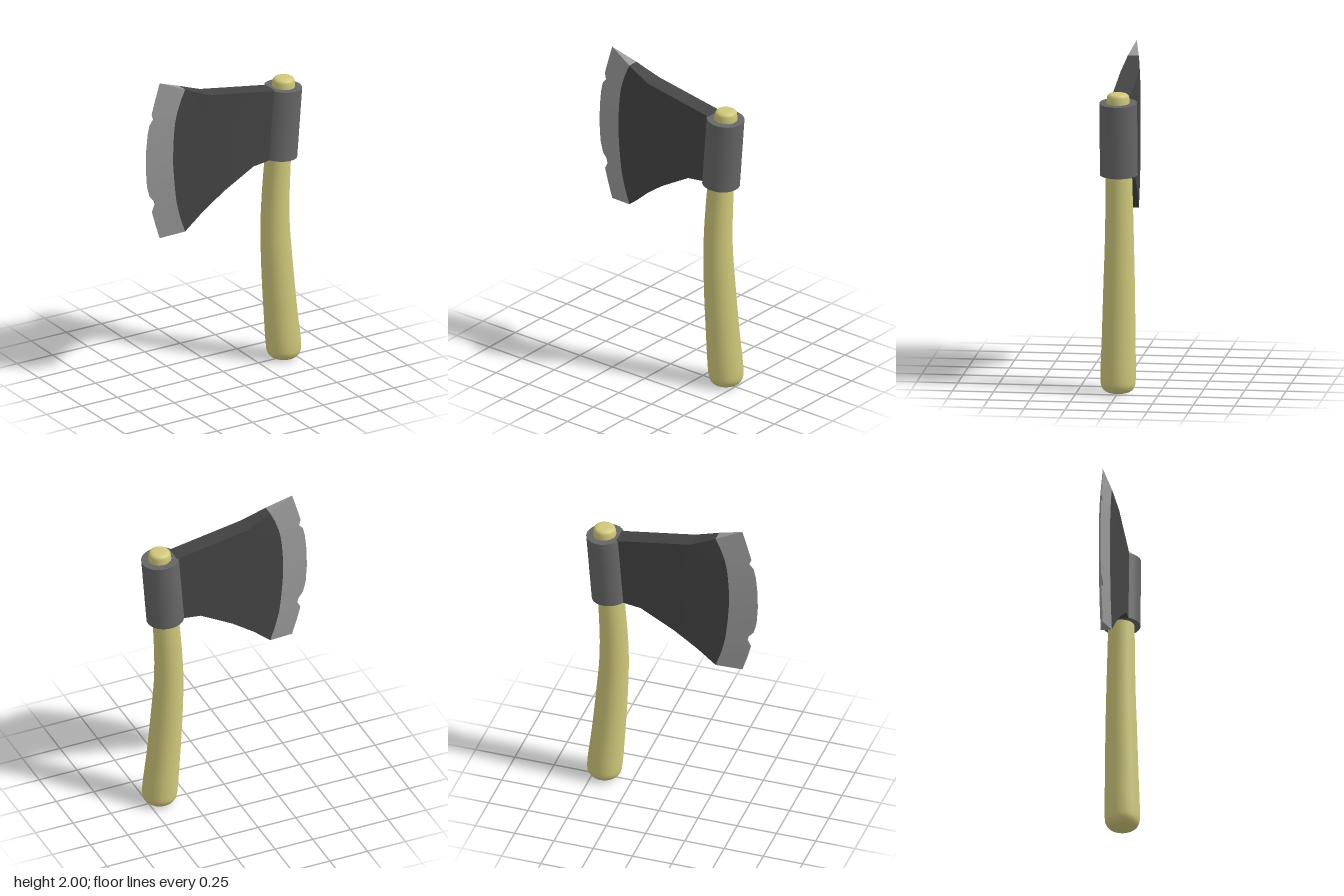
import * as THREE from 'three';
import { toCreasedNormals } from 'three/addons/utils/BufferGeometryUtils.js';

const material = (color) => new THREE.MeshStandardMaterial({ color });

// Solid symmetric about z = 0: rows run bottom to top, each a list of [x, y, halfThickness] from left to right.
function slab(rows) {
  const pos = [];
  const tri = (a, b, c) => {
    const area = b.clone().sub(a).cross(c.clone().sub(a)).length();
    if (area > 1e-8) for (const p of [a, b, c]) pos.push(p.x, p.y, p.z);
  };
  const quad = (a, b, c, d) => { tri(a, b, c); tri(a, c, d); };
  const F = rows.map((r) => r.map(([x, y, h]) => new THREE.Vector3(x, y, h)));
  const B = rows.map((r) => r.map(([x, y, h]) => new THREE.Vector3(x, y, -h)));
  const m = rows.length - 1, n = rows[0].length - 1;
  for (let i = 0; i < m; i++) {
    for (let j = 0; j < n; j++) {
      quad(F[i][j], F[i][j + 1], F[i + 1][j + 1], F[i + 1][j]);
      quad(B[i][j + 1], B[i][j], B[i + 1][j], B[i + 1][j + 1]);
    }
    quad(B[i][0], F[i][0], F[i + 1][0], B[i + 1][0]);
    quad(F[i][n], B[i][n], B[i + 1][n], F[i + 1][n]);
  }
  for (let j = 0; j < n; j++) {
    quad(F[m][j], F[m][j + 1], B[m][j + 1], B[m][j]);
    quad(B[0][j], B[0][j + 1], F[0][j + 1], F[0][j]);
  }
  const g = new THREE.BufferGeometry();
  g.setAttribute('position', new THREE.Float32BufferAttribute(pos, 3));
  g.computeVertexNormals();
  return toCreasedNormals(g, 0.35);
}

export function createModel() {
  const group = new THREE.Group();
  const add = (name, geometry, color) => {
    const mesh = new THREE.Mesh(geometry, material(color));
    mesh.name = name;
    group.add(mesh);
    return mesh;
  };

  // Curved wooden handle: a lathe whose rings are shifted along a bent centre line [radius, y, centreX]
  const stations = [
    [0, 0, 0.428], [0.055, 0.003, 0.428], [0.085, 0.018, 0.428], [0.102, 0.045, 0.428], [0.107, 0.08, 0.427],
    [0.102, 0.35, 0.402], [0.096, 0.64, 0.38], [0.088, 0.93, 0.367], [0.08, 1.33, 0.387], [0.07, 1.75, 0.424],
    [0.069, 1.805, 0.427], [0.063, 1.832, 0.428], [0.045, 1.843, 0.428], [0, 1.845, 0.428],
  ];
  const samples = new THREE.CatmullRomCurve3(stations.map((s) => new THREE.Vector3(...s))).getPoints(65);
  const profile = samples.map((p) => new THREE.Vector2(Math.max(0, p.x), THREE.MathUtils.clamp(p.y, 0, 1.845)));
  const handle = new THREE.LatheGeometry(profile, 28);
  const hp = handle.attributes.position;
  for (let i = 0; i < hp.count; i++) hp.setX(i, hp.getX(i) + samples[i % samples.length].z);
  add('handle', handle, 0xcfc87a);

  // Tilted socket around the handle
  const bottom = new THREE.Vector3(0.39, 1.338, 0), top = new THREE.Vector3(0.425, 1.785, 0);
  const axis = top.clone().sub(bottom);
  const socket = add('socket', new THREE.CylinderGeometry(0.115, 0.115, axis.length(), 24), 0x666666);
  socket.position.copy(bottom).add(top).multiplyScalar(0.5);
  socket.quaternion.setFromUnitVectors(new THREE.Vector3(0, 1, 0), axis.normalize());

  // Blade rows: [edge x, edge y, edge half thickness, bevel x, bevel y], with two chips in the edge
  const rows = [
    [-0.45, 0.98, 0, -0.29, 1.0], [-0.48, 1.075, 0, -0.325, 1.1], [-0.505, 1.165, 0, -0.345, 1.18],
    [-0.482, 1.208, 0.006, -0.352, 1.215], [-0.49, 1.235, 0.005, -0.355, 1.24], [-0.522, 1.27, 0, -0.36, 1.28],
    [-0.54, 1.34, 0, -0.368, 1.36], [-0.548, 1.46, 0, -0.375, 1.46], [-0.545, 1.58, 0, -0.374, 1.58],
    [-0.535, 1.68, 0, -0.367, 1.68], [-0.522, 1.738, 0, -0.36, 1.735], [-0.493, 1.77, 0.006, -0.353, 1.77],
    [-0.507, 1.805, 0, -0.345, 1.8], [-0.48, 1.9, 0, -0.32, 1.87], [-0.45, 2.0, 0, -0.29, 1.935],
  ];
  const bevel = 0.034, thick = 0.056;
  add('cuttingEdge', slab(rows.map(([x, y, h, bx, by]) => [[x, y, h], [bx, by, bevel]])), 0x999999);

  // Blade body: columns [bottom x, bottom y, top x, top y, half thickness] from the bevel to the socket
  const columns = [
    [-0.18, 1.098, -0.23, 1.91, 0.042], [-0.03, 1.208, -0.18, 1.89, 0.049],
    [0.18, 1.33, -0.13, 1.87, thick], [0.34, 1.351, 0.36, 1.788, thick],
  ];
  const body = rows.map(([, , , bx, by]) => {
    const t = (by - 1.0) / 0.935;
    const inner = columns.map(([x0, y0, x1, y1, h]) => [x0 + (x1 - x0) * t, y0 + (y1 - y0) * t, h]);
    return [[bx, by, bevel], ...inner];
  });
  add('bladeBody', slab(body), 0x444444);

  return group;
}
